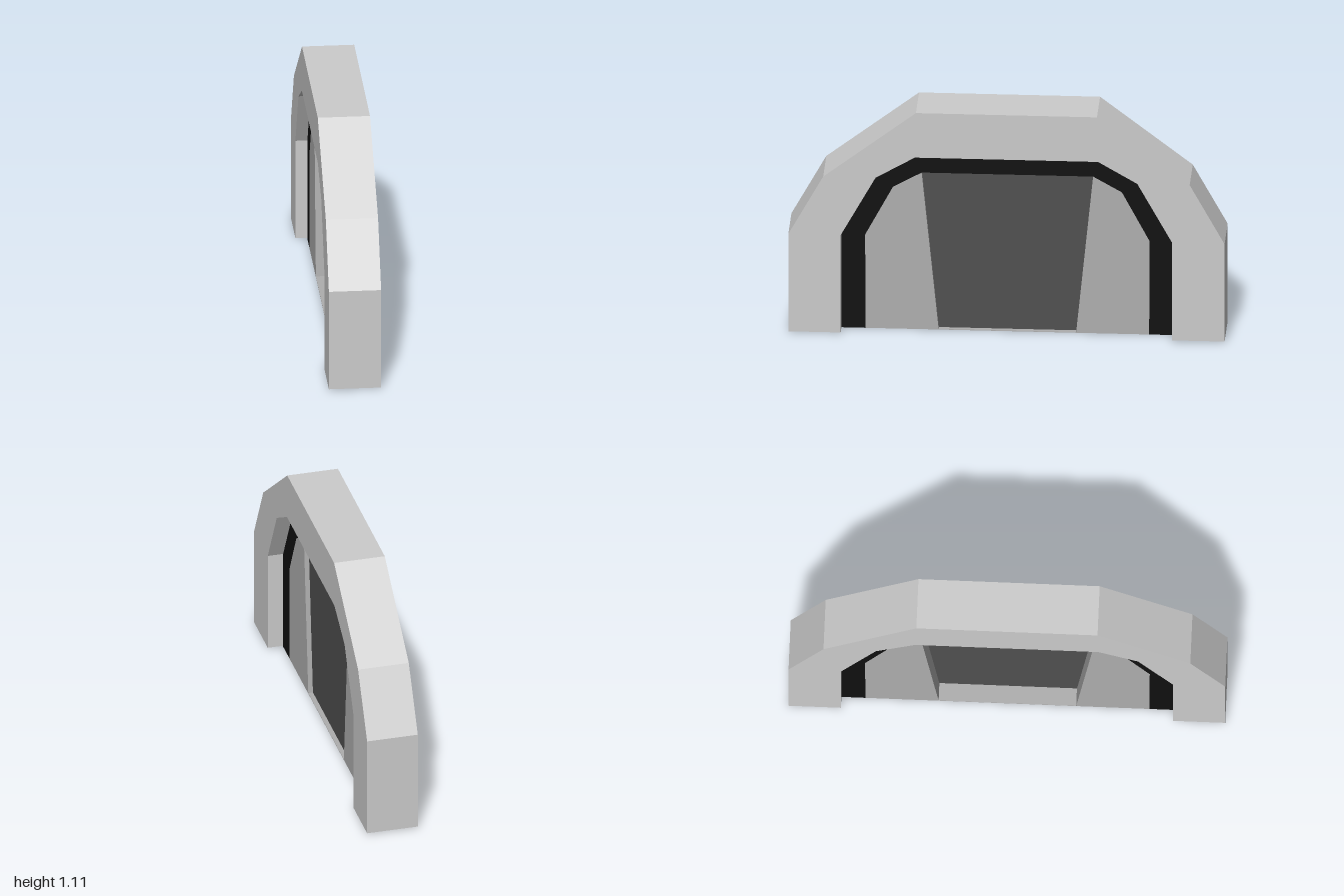
import * as THREE from 'three';

// Half outlines as [distance from centre, height], from the ground up
const OUTER = [[1, 0.005], [1, 0.49], [0.84, 0.78], [0.415, 1.107]];
const OPENING = [[0.76, 0.005], [0.76, 0.49], [0.6, 0.78], [0.42, 0.885]];
const BAND_INNER = [[0.65, 0], [0.652, 0.465], [0.525, 0.705], [0.393, 0.78]];
const DOOR = [[0.315, 0], [0.393, 0.78]];

const mirror = (pts) => pts.map(([z, y]) => [-z, y]);
const material = (color) => new THREE.MeshStandardMaterial({ color, flatShading: true });

// Closed outline between an outer and an inner half profile, on both sides
function archOutline(outer, inner) {
  return [...outer, ...mirror(outer).reverse(), ...mirror(inner), ...[...inner].reverse()];
}

// Extrude an outline drawn in the z-y plane from x0 to x1
function slab(name, points, x0, x1, mat) {
  const shape = new THREE.Shape(points.map(([z, y]) => new THREE.Vector2(z, y)));
  const geometry = new THREE.ExtrudeGeometry(shape, { depth: x1 - x0, bevelEnabled: false });
  geometry.translate(0, 0, x0).rotateY(Math.PI / 2);
  const mesh = new THREE.Mesh(geometry, mat);
  mesh.name = name;
  return mesh;
}

export function createModel() {
  const model = new THREE.Group();
  model.name = 'archedDoorway';
  const stone = material(0xcccccc);
  const panelGrey = material(0xaeaeae);
  const black = material(0x101010);
  const dark = material(0x505050);
  const back = -0.065, front = 0.047;

  // Thick outer arch
  model.add(slab('outerArch', archOutline(OUTER, OPENING), -0.12, 0.12, stone));

  // Recessed black band lining the opening
  const bandOuter = [[0.76, 0], ...OPENING.slice(1)];
  model.add(slab('innerBand', archOutline(bandOuter, BAND_INNER), back, front, black));

  // Side panels with sloping jambs
  const panel = [...BAND_INNER, DOOR[0]];
  model.add(slab('leftPanel', panel, back, front, panelGrey));
  model.add(slab('rightPanel', mirror(panel), back, front, panelGrey));

  // Thin door set closer to the +x face
  model.add(slab('door', [...DOOR, ...mirror(DOOR).reverse()], 0.02, 0.025, dark));

  // Thin sill closing the bottom of the door recess
  const sill = new THREE.Mesh(new THREE.BoxGeometry(front - back, 0.003, 0.63), panelGrey);
  sill.name = 'sill';
  sill.position.set((front + back) / 2, 0.0015, 0);
  model.add(sill);

  return model;
}
